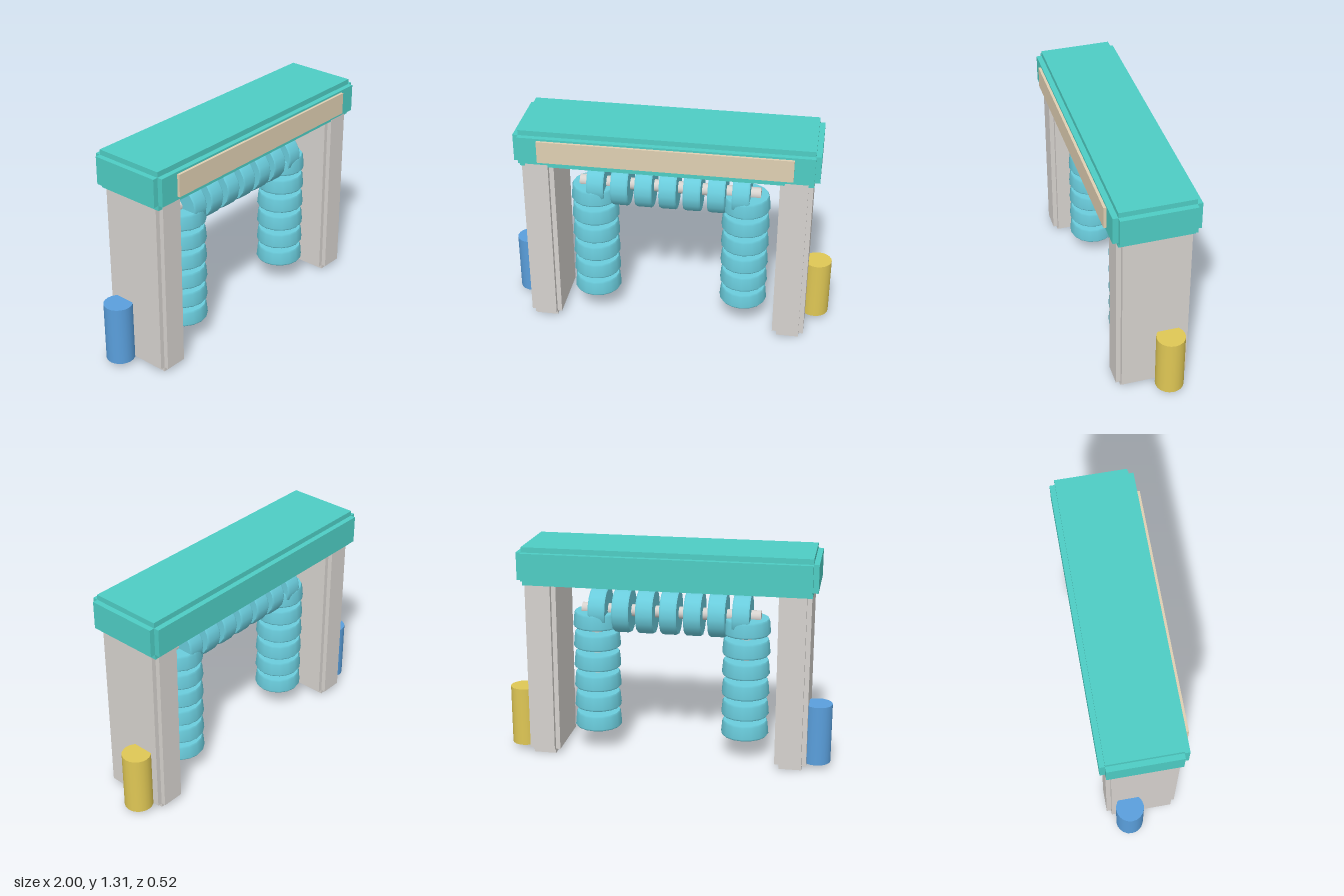
import * as THREE from 'three';
import { mergeGeometries } from 'three/addons/utils/BufferGeometryUtils.js';

const mat = (name, color) => {
  const m = new THREE.MeshStandardMaterial({ color });
  m.name = name;
  return m;
};

// Box with a square step cut along every edge, given by its limits.
function steppedBox([x0, x1], [y0, y1], [z0, z1], step) {
  const size = [x1 - x0, y1 - y0, z1 - z0];
  const slabs = [0, 1, 2].map((axis) =>
    new THREE.BoxGeometry(...size.map((s, i) => (i === axis ? s : s - 2 * step))));
  return mergeGeometries(slabs).translate((x0 + x1) / 2, (y0 + y1) / 2, (z0 + z1) / 2);
}

// Brush disc: a slightly tapered drum with softened rims.
function discGeometry(bottom, top, height) {
  const h = height / 2;
  const drum = new THREE.LatheGeometry([
    [bottom - 0.008, -h], [bottom, -h + 0.012], [top, h - 0.012], [top - 0.006, h],
  ].map(([r, y]) => new THREE.Vector2(r, y)), 16);
  const caps = [[bottom - 0.008, -h, Math.PI / 2], [top - 0.006, h, -Math.PI / 2]].map(([r, y, turn]) =>
    new THREE.CircleGeometry(r, 16).rotateX(turn).rotateY(Math.PI / 2).translate(0, y, 0));
  return mergeGeometries([drum, ...caps]);
}

export function createModel() {
  const model = new THREE.Group();
  model.name = 'washArch';
  const teal = mat('teal', 0x4ecdc4);
  const grey = mat('lightGrey', 0xd6d2ce);
  const aqua = mat('brushAqua', 0x6accdc);
  const tan = mat('tan', 0xdfcfb2);
  const blue = mat('blue', 0x5a9fdc);
  const yellow = mat('yellow', 0xdfc755);

  const add = (parent, name, geometry, material, x = 0, y = 0, z = 0) => {
    const mesh = new THREE.Mesh(geometry, material);
    mesh.name = name;
    mesh.position.set(x, y, z);
    parent.add(mesh);
    return mesh;
  };

  // Roof beam and front panel
  add(model, 'roof', steppedBox([-0.895, 0.895], [1.083, 1.315], [-0.258, 0.243], 0.032), teal);
  add(model, 'frontPanel', new THREE.BoxGeometry(1.49, 0.135, 0.018), tan, 0, 1.203, 0.25);

  // Each side: leg, tank and upright brush
  const disc = discGeometry(0.147, 0.14, 0.096);
  for (const side of [1, -1]) {
    const word = side > 0 ? 'left' : 'right';
    const xs = [side * 0.667, side * 0.859].sort((a, b) => a - b);
    add(model, word + 'Leg', steppedBox(xs, [0, 1.15], [-0.222, 0.213], 0.028), grey);
    add(model, word + 'Tank', new THREE.CylinderGeometry(0.085, 0.085, 0.37, 20),
      side > 0 ? yellow : blue, side * 0.915, 0.215, -0.09);

    const brush = new THREE.Group();
    brush.name = word + 'Brush';
    brush.position.x = side * 0.463;
    model.add(brush);
    add(brush, 'rod', new THREE.CylinderGeometry(0.043, 0.043, 0.78, 16), grey, 0, 0.51, 0);
    for (let i = 0; i < 6; i++) add(brush, 'disc' + (i + 1), disc, aqua, 0, 0.187 + i * 0.13, 0);
  }

  // Overhead brush
  const top = new THREE.Group();
  top.name = 'topBrush';
  top.position.y = 0.896;
  top.rotation.z = Math.PI / 2;
  model.add(top);
  add(top, 'rod', new THREE.CylinderGeometry(0.037, 0.037, 1.1, 16), grey);
  const topDisc = discGeometry(0.137, 0.137, 0.104);
  for (let i = -3; i <= 3; i++) add(top, 'disc' + (i + 4), topDisc, aqua, 0, i * 0.146, 0);

  return model;
}
